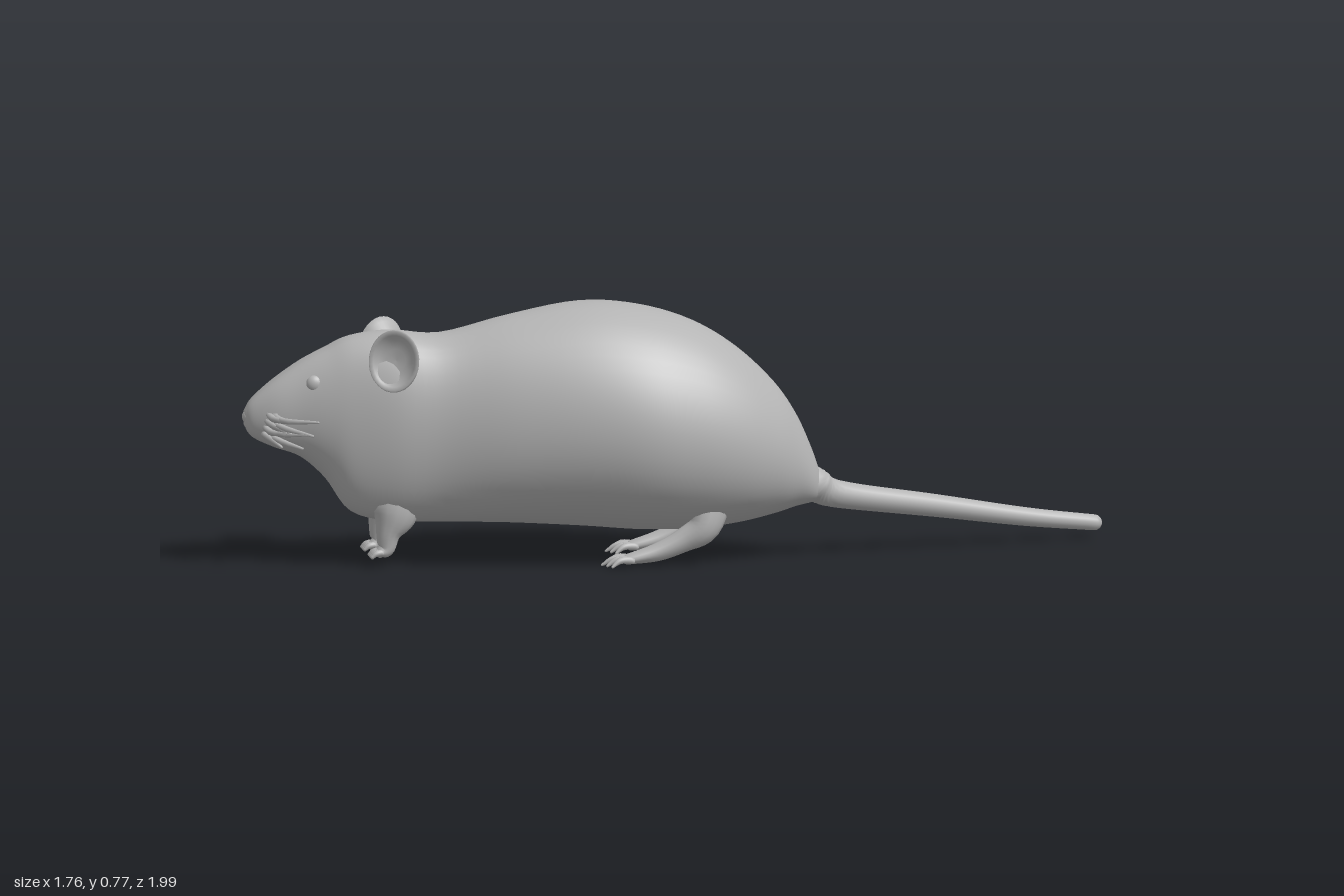
import * as THREE from 'three';

const fur = new THREE.MeshStandardMaterial({ color: 0xb4b4b4 });
fur.name = 'plain grey';

// Skin a list of rings (arrays of Vector3) into a smooth closed surface
function skin(name, rings) {
  const n = rings[0].length, pos = [], idx = [];
  rings.forEach(r => r.forEach(p => pos.push(p.x, p.y, p.z)));
  for (let i = 0; i < rings.length - 1; i++) {
    for (let j = 0; j < n; j++) {
      const a = i * n + j, b = i * n + (j + 1) % n;
      idx.push(a, a + n, b, b, a + n, b + n);
    }
  }
  // End caps
  [0, rings.length - 1].forEach((k, end) => {
    const c = new THREE.Vector3();
    rings[k].forEach(p => c.addScaledVector(p, 1 / n));
    const ci = pos.length / 3;
    pos.push(c.x, c.y, c.z);
    for (let j = 0; j < n; j++) {
      const a = k * n + j, b = k * n + (j + 1) % n;
      if (end) idx.push(ci, b, a); else idx.push(ci, a, b);
    }
  });
  const g = new THREE.BufferGeometry();
  g.setAttribute('position', new THREE.Float32BufferAttribute(pos, 3));
  g.setIndex(idx);
  g.computeVertexNormals();
  const m = new THREE.Mesh(g, fur);
  m.name = name;
  return m;
}

// Tapered, rounded sweep through points [x, y, z, half width, half height]
function limb(name, pts, sides = 14, steps = 20) {
  const path = new THREE.CatmullRomCurve3(pts.map(p => new THREE.Vector3(p[0], p[1], p[2])), false, 'catmullrom');
  const size = new THREE.CatmullRomCurve3(pts.map(p => new THREE.Vector3(p[3], p[4] ?? p[3], 0)), false, 'catmullrom');
  const ref = new THREE.Vector3(0, 0.6, 1), rings = [];
  const ring = (t, k, push) => {
    const c = path.getPoint(t), d = path.getTangent(t), r = size.getPoint(t);
    const e1 = ref.clone().cross(d).normalize(), e2 = e1.clone().cross(d);
    c.addScaledVector(d, push * Math.min(r.x, r.y));
    rings.push(Array.from({ length: sides }, (_, j) => {
      const a = j / sides * Math.PI * 2;
      return c.clone().addScaledVector(e1, Math.cos(a) * r.x * k).addScaledVector(e2, Math.sin(a) * r.y * k);
    }));
  };
  for (let i = 0; i <= steps; i++) ring(i / steps, 1, 0);
  [0.4, 0.8, 1.2, 1.5].forEach(a => ring(1, Math.cos(a), Math.sin(a)));
  return skin(name, rings);
}

// Trunk and head, nose to rump: [z, centre x, half width, bottom, top]
function body() {
  const sections = [
    [1.285, 0.10, 0.018, 0.43, 0.475], [1.262, 0.10, 0.045, 0.395, 0.51],
    [1.20, 0.105, 0.072, 0.365, 0.565], [1.12, 0.107, 0.092, 0.335, 0.62],
    [1.045, 0.115, 0.108, 0.27, 0.66], [0.97, 0.122, 0.126, 0.17, 0.695],
    [0.85, 0.128, 0.153, 0.14, 0.71], [0.70, 0.128, 0.176, 0.135, 0.70],
    [0.50, 0.135, 0.23, 0.13, 0.75], [0.28, 0.117, 0.30, 0.115, 0.785],
    [0.10, 0.112, 0.323, 0.10, 0.77], [-0.06, 0.112, 0.298, 0.10, 0.72],
    [-0.19, 0.12, 0.245, 0.115, 0.64], [-0.30, 0.128, 0.175, 0.14, 0.535],
    [-0.365, 0.133, 0.118, 0.16, 0.44], [-0.41, 0.135, 0.075, 0.17, 0.34],
    [-0.435, 0.133, 0.045, 0.18, 0.27],
  ];
  const plan = new THREE.CatmullRomCurve3(sections.map(s => new THREE.Vector3(s[0], s[1], s[2])), false, 'catmullrom');
  const side = new THREE.CatmullRomCurve3(sections.map(s => new THREE.Vector3(s[0], s[3], s[4])), false, 'catmullrom');
  const rings = [], steps = 80, sides = 48;
  for (let i = 0; i <= steps; i++) {
    const p = plan.getPoint(i / steps), q = side.getPoint(i / steps);
    // The head is squarer than the pear-shaped trunk
    const head = THREE.MathUtils.smoothstep(p.x, 0.5, 0.85);
    rings.push(Array.from({ length: sides }, (_, j) => {
      const a = j / sides * Math.PI * 2, c = Math.cos(a), s = Math.sin(a);
      const round = (c < 0 && s > 0 ? 1 : 0.9) * (1 - head) + 0.7 * head;
      const w = Math.sign(c) * Math.abs(c) ** round * (1 - 0.08 * s * (1 - head));
      return new THREE.Vector3(p.y + p.z * w, (q.y + q.z) / 2 + (q.z - q.y) / 2 * s, p.x);
    }));
  }
  return skin('body', rings);
}

// Cupped ear with a rolled rim, facing outwards and forwards
function ear(sign) {
  const profile = [[0, -0.05], [0.05, -0.04], [0.08, -0.008], [0.092, 0.008], [0.088, 0.014],
    [0.076, 0.008], [0.06, -0.006], [0.035, -0.013], [0, -0.015]].map(p => new THREE.Vector2(...p));
  const g = new THREE.LatheGeometry(profile, 32);
  g.rotateX(Math.PI / 2);
  g.scale(0.85, 1.02, 1);
  const m = new THREE.Mesh(g, fur);
  m.name = sign > 0 ? 'leftEar' : 'rightEar';
  m.position.set(0.125 + sign * 0.138, 0.637, 0.855);
  m.rotation.set(-0.1, sign * 1.15, 0);
  return m;
}

function ball(name, r, x, y, z, sx = 1, sy = 1, sz = 1) {
  const m = new THREE.Mesh(new THREE.SphereGeometry(r, 20, 14), fur);
  m.name = name;
  m.position.set(x, y, z);
  m.scale.set(sx, sy, sz);
  return m;
}

export function createModel() {
  const model = new THREE.Group();
  model.name = 'rodent';
  const animal = new THREE.Group();
  animal.name = 'animal';
  animal.rotation.y = -0.807; // stands diagonally
  model.add(animal);

  animal.add(body());
  animal.add(limb('tail', [
    [0.138, 0.25, -0.34, 0.06], [0.135, 0.222, -0.42, 0.054], [0.115, 0.188, -0.50, 0.041],
    [0.025, 0.135, -0.80, 0.034], [-0.051, 0.085, -1.08, 0.028], [-0.106, 0.055, -1.295, 0.024],
  ], 18, 40));
  animal.add(ball('noseTip', 0.024, 0.10, 0.455, 1.272, 1.1, 0.9, 0.8));

  for (const s of [1, -1]) {
    const side = s > 0 ? 'left' : 'right';
    animal.add(ear(s));
    animal.add(ball(side + 'Eye', 0.026, 0.11 + s * 0.077, 0.562, 1.085, 0.7, 1, 1));

    // Front leg with paw and toes
    const fx = 0.115 + s * 0.081;
    animal.add(limb(side + 'FrontLeg', [
      [fx - s * 0.015, 0.26, 0.84, 0.05, 0.08], [fx - s * 0.005, 0.17, 0.845, 0.048, 0.07],
      [fx, 0.11, 0.865, 0.034, 0.038], [fx, 0.065, 0.872, 0.028, 0.026], [fx, 0.052, 0.89, 0.032, 0.015],
    ]));
    for (let i = -1.5; i <= 1.5; i++) {
      animal.add(limb(side + 'FrontToe', [
        [fx + i * 0.014, 0.055, 0.885, 0.010], [fx + i * 0.019, 0.053, 0.905, 0.009],
        [fx + i * 0.021, 0.043, 0.917, 0.006]], 8, 6));
    }

    // Hind leg with long foot and toes
    const hx = 0.143 + s * 0.14, hz = s > 0 ? 0.02 : -0.03;
    animal.add(limb(side + 'HindLeg', [
      [hx - s * 0.02, 0.21, -0.11 + hz, 0.05, 0.07], [hx, 0.125, -0.09 + hz, 0.042, 0.05],
      [hx, 0.085, -0.03 + hz, 0.034, 0.036], [hx, 0.05, 0.05 + hz, 0.032, 0.027],
      [hx, 0.03, 0.14 + hz, 0.036, 0.015],
    ]));
    for (let i = -2; i <= 2; i++) {
      const len = 0.075 - Math.abs(i) * 0.012;
      animal.add(limb(side + 'HindToe', [
        [hx + i * 0.013, 0.03, 0.125 + hz, 0.011], [hx + i * 0.02, 0.032, 0.135 + len * 0.6 + hz, 0.010],
        [hx + i * 0.026, 0.015, 0.14 + len + hz, 0.004]], 8, 8));
    }

    // Whisker tufts sweeping back from the muzzle
    for (let i = 0; i < 8; i++) {
      const y = 0.41 + (i % 4) * 0.02, k = i / 7;
      animal.add(limb(side + 'Whisker', [
        [0.104 + s * 0.05, y, 1.235 - k * 0.03, 0.009],
        [0.104 + s * (0.085 + k * 0.035), y - 0.012, 1.215 - k * 0.03, 0.010],
        [0.104 + s * (0.125 + k * 0.07), y - 0.03 + (i % 2) * 0.022, 1.19 - k * 0.10, 0.004],
      ], 6, 8));
    }
  }
  return model;
}
